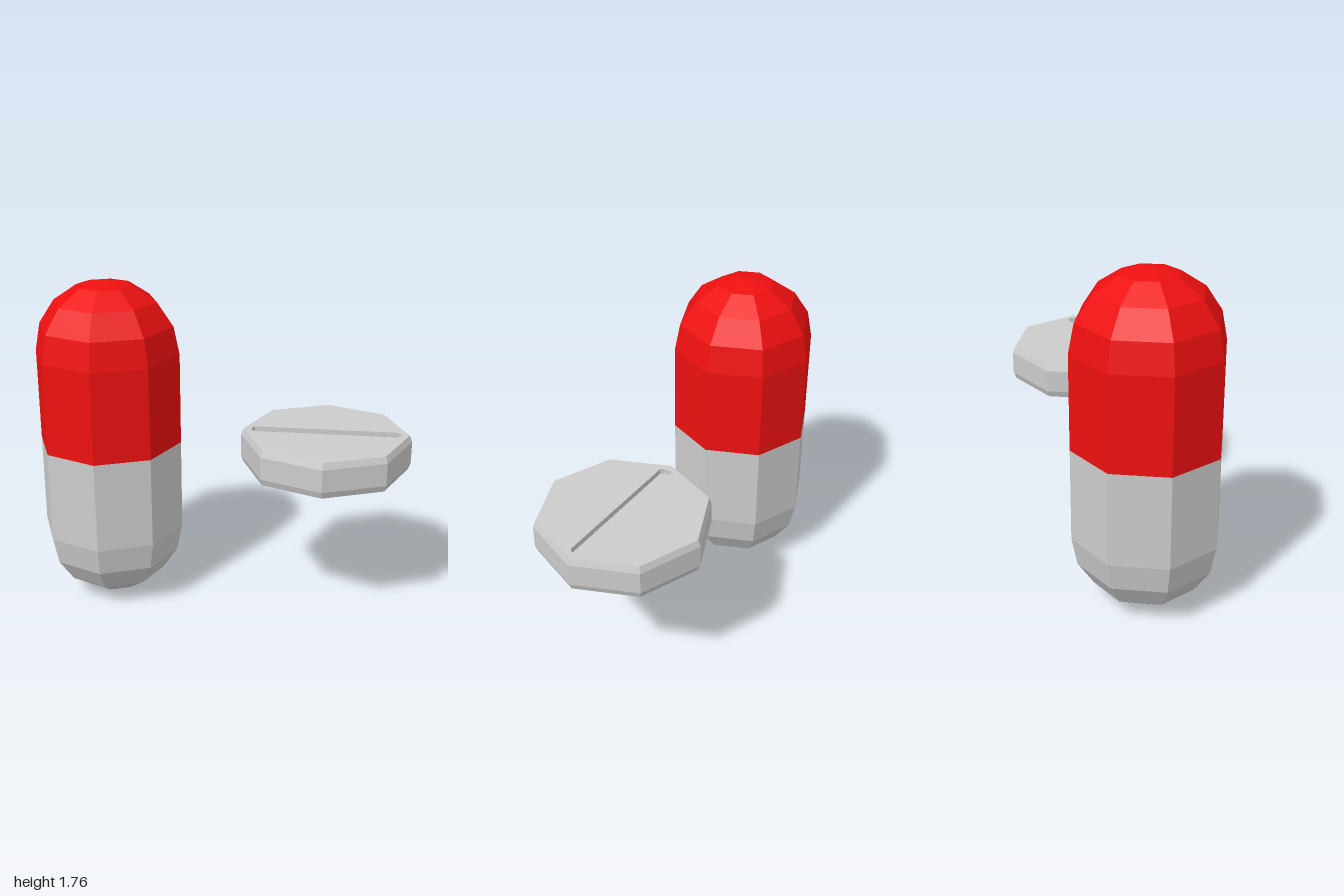
import * as THREE from 'three';
import { mergeGeometries } from 'three/addons/utils/BufferGeometryUtils.js';

const SIDES = 8;
const red = new THREE.MeshStandardMaterial({ color: 0xee1010, flatShading: true });
const grey = new THREE.MeshStandardMaterial({ color: 0xcccccc, flatShading: true });

function addMesh(parent, name, geometry, material) {
  const mesh = new THREE.Mesh(geometry, material);
  mesh.name = name;
  parent.add(mesh);
  return mesh;
}

// Faceted shell from [radius, height] pairs, listed bottom to top
const lathe = (pts) =>
  new THREE.LatheGeometry(pts.map(([r, y]) => new THREE.Vector2(r, y)), SIDES);

// Walls of a recess below z = 0, facing inward; outline runs counterclockwise
function recessWalls(outline, depth) {
  const pos = [];
  outline.forEach((a, i) => {
    const b = outline[(i + 1) % outline.length];
    pos.push(a.x, a.y, 0, b.x, b.y, 0, a.x, a.y, -depth);
    pos.push(b.x, b.y, 0, b.x, b.y, -depth, a.x, a.y, -depth);
  });
  const g = new THREE.BufferGeometry();
  g.setAttribute('position', new THREE.Float32BufferAttribute(pos, 3));
  return g;
}

function createCapsule() {
  const capsule = new THREE.Group();
  capsule.name = 'capsule';
  const R = 0.387, reach = 0.878, steps = 4;
  const upper = [[R, 0]];
  for (let i = 0; i <= steps; i++) {
    const a = (i / steps) * Math.PI / 2;
    upper.push([i === steps ? 0 : R * Math.cos(a), reach - R + R * Math.sin(a)]);
  }
  const lower = upper.map(([r, y]) => [r, -y]).reverse();
  addMesh(capsule, 'capsuleTopHalf', lathe(upper), red);
  addMesh(capsule, 'capsuleBottomHalf', lathe(lower), grey);
  capsule.position.set(-0.613, reach, 0);
  return capsule;
}

function createTablet() {
  const tablet = new THREE.Group();
  tablet.name = 'tablet';
  const R = 0.45, faceR = 0.436, half = 0.095, bevel = 0.035, depth = 0.03;

  // Bevelled rim
  addMesh(tablet, 'tabletRim', lathe([
    [faceR, -half], [R, -half + bevel], [R, half - bevel], [faceR, half],
  ]), grey);

  // Scored face: octagon with a long chamfered slot
  const L = 0.392, W = 0.035, c = 0.013;
  const slot = [
    [L, -W + c], [L, W - c], [L - c, W], [-L + c, W],
    [-L, W - c], [-L, -W + c], [-L + c, -W], [L - c, -W],
  ].map(([x, y]) => new THREE.Vector2(x, y));
  const octagon = Array.from({ length: SIDES }, (_, i) => {
    const a = (i / SIDES) * Math.PI * 2;
    return new THREE.Vector2(faceR * Math.cos(a), faceR * Math.sin(a));
  });
  const faceShape = new THREE.Shape(octagon);
  faceShape.holes.push(new THREE.Path(slot));
  const plain = (g) => {
    const flat = g.index ? g.toNonIndexed() : g;
    flat.deleteAttribute('uv');
    flat.deleteAttribute('normal');
    return flat;
  };
  const face = mergeGeometries([
    plain(new THREE.ShapeGeometry(faceShape)),
    plain(new THREE.ShapeGeometry(new THREE.Shape(slot)).translate(0, 0, -depth)),
    recessWalls(slot, depth),
  ]);
  face.computeVertexNormals();
  face.translate(0, 0, half);

  // Same scored face above and below
  addMesh(tablet, 'tabletTopFace', face, grey).rotation.x = -Math.PI / 2;
  addMesh(tablet, 'tabletBottomFace', face, grey).rotation.x = Math.PI / 2;
  tablet.position.set(0.55, 0.88, 0);
  return tablet;
}

export function createModel() {
  const model = new THREE.Group();
  model.name = 'pills';
  model.add(createCapsule(), createTablet());
  return model;
}
